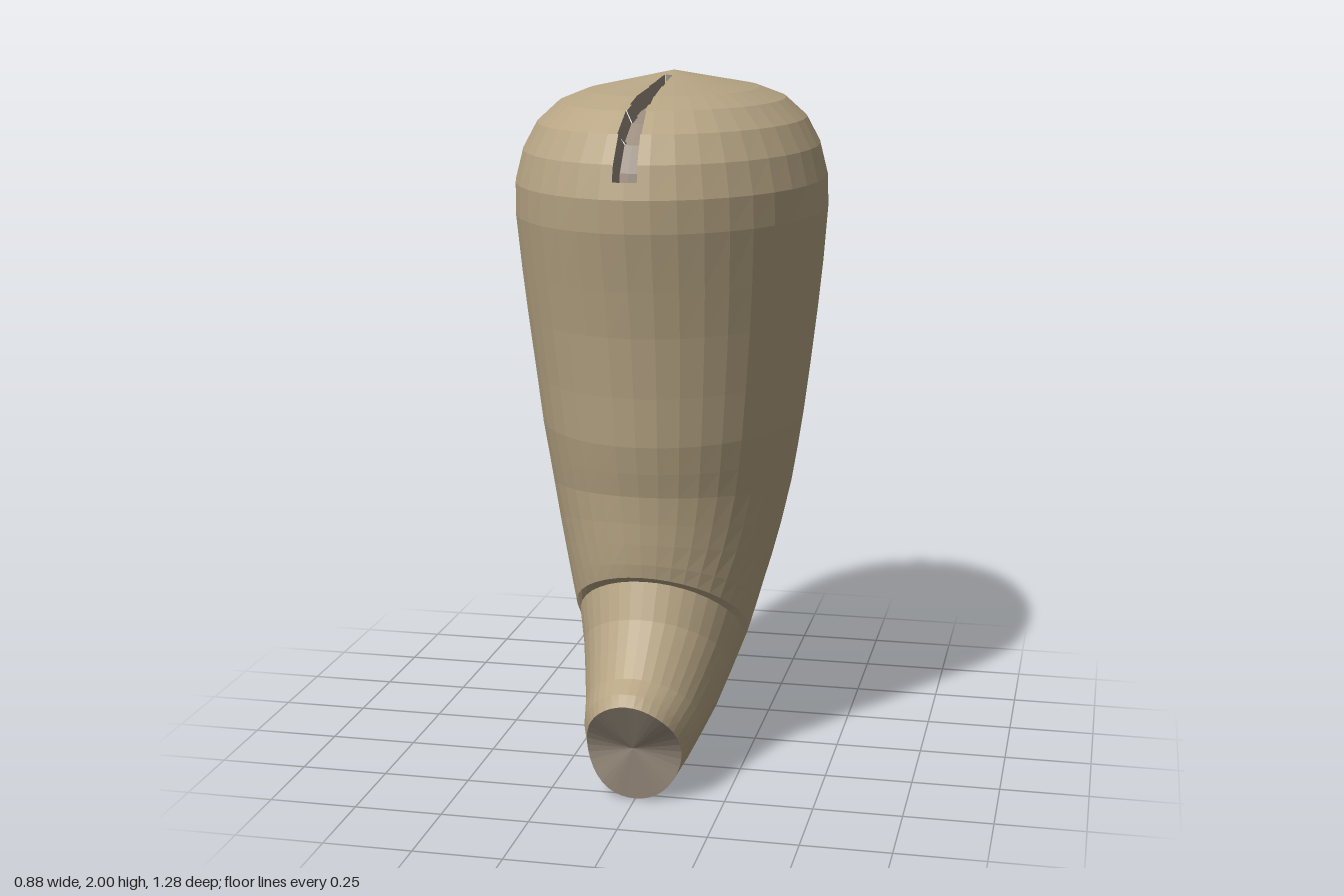
import * as THREE from 'three';

const SIDES = 40;

// Cross-sections, top to mouth: [front z, front y, back z, back y, half width]
const SECTIONS = [
  [0, 2, 0, 2, 0],
  [0.38, 1.95, -0.38, 1.95, 0.24],
  [0.49, 1.92, -0.49, 1.92, 0.315],
  [0.57, 1.865, -0.57, 1.865, 0.375],
  [0.62, 1.79, -0.62, 1.79, 0.415],
  [0.64, 1.7, -0.64, 1.7, 0.438],
  [0.63, 1.61, -0.632, 1.61, 0.44],
  [0.59, 1.45, -0.6, 1.45, 0.428],
  [0.56, 1.32, -0.572, 1.32, 0.415],
  [0.53, 1.15, -0.55, 1.15, 0.395],
  [0.51, 1.01, -0.525, 1.0, 0.377],
  [0.49, 0.93, -0.5, 0.88, 0.362],
  [0.47, 0.86, -0.46, 0.75, 0.346],
  [0.46, 0.78, -0.39, 0.6, 0.322],
  [0.455, 0.72, -0.32, 0.48, 0.3],
  [0.448, 0.66, -0.2, 0.325, 0.27],
  [0.44, 0.62, -0.12, 0.23, 0.25],
  [0.41, 0.6, -0.08, 0.2, 0.24],
  [0.45, 0.5, 0, 0.145, 0.215],
  [0.5, 0.435, 0.12, 0.08, 0.192],
  [0.56, 0.365, 0.25, 0.045, 0.168],
  [0.62, 0.34, 0.38, 0.012, 0.15],
  [0.64, 0.31, 0.53, 0, 0.135],
];

// Right half of the U-shaped groove on the back, as (|x|, y)
const HOOK = [[0.2, 1.62], [0.185, 1.45], [0.16, 1.37], [0.1, 1.305], [0, 1.28]]
  .map(([x, y]) => new THREE.Vector2(x, y));

function segmentDistance(p, a, b) {
  const d = b.clone().sub(a);
  const t = THREE.MathUtils.clamp(p.clone().sub(a).dot(d) / d.lengthSq(), 0, 1);
  return p.distanceTo(a.clone().addScaledVector(d, t));
}

// True where the skin is carved by the top slit or the back groove
function inGroove(p) {
  if (p.z > 0) {
    const w = THREE.MathUtils.mapLinear(p.z, 0.08, 0.63, 0.011, 0.028);
    return p.z > 0.08 && p.y > 1.75 && Math.abs(p.x) < w;
  }
  if (p.y < 1.2 || p.y > 1.7) return false;
  const q = new THREE.Vector2(Math.abs(p.x), p.y);
  // Diamond knob at each end of the groove
  if (Math.abs(q.x - 0.235) + Math.abs(q.y - 1.62) < 0.062) return true;
  return HOOK.some((a, i) => i > 0 && segmentDistance(q, HOOK[i - 1], a) < 0.032);
}

function carve(p) {
  if (!inGroove(p)) return { p, deep: false };
  const axis = new THREE.Vector3(0, Math.min(p.y, 1.4), 0);
  return { p: p.clone().addScaledVector(axis.sub(p).normalize(), 0.05), deep: true };
}

// Point on section j at side i
function ringPoint(j, i) {
  const [zf, yf, zb, yb, w] = SECTIONS[j];
  const t = (i % SIDES) / SIDES * Math.PI * 2;
  const c = Math.cos(t), s = Math.sin(t);
  // The sides of the mouth rim bow back
  const dip = j === SECTIONS.length - 1 ? 0.045 * s ** 4 : 0;
  return new THREE.Vector3(w * s,
    (yf + yb) / 2 + (yf - yb) / 2 * c,
    (zf + zb) / 2 + (zf - zb) / 2 * c - dip);
}

function pushQuad(out, a, b, c, d) {
  for (const p of [a, d, b, d, c, b]) out.push(p.x, p.y, p.z);
}

function makeMesh(name, positions, color) {
  const geometry = new THREE.BufferGeometry();
  geometry.setAttribute('position', new THREE.Float32BufferAttribute(positions, 3));
  geometry.computeVertexNormals();
  const mesh = new THREE.Mesh(geometry,
    new THREE.MeshStandardMaterial({ color, flatShading: true }));
  mesh.name = name;
  return mesh;
}

export function createModel() {
  const skin = [], groove = [], cap = [];

  for (let j = 0; j < SECTIONS.length - 1; j++) {
    for (let i = 0; i < SIDES; i++) {
      const A = ringPoint(j, i), B = ringPoint(j, i + 1);
      const C = ringPoint(j + 1, i + 1), D = ringPoint(j + 1, i);
      const at = (u, v) => A.clone().lerp(B, u).lerp(D.clone().lerp(C, u), v);

      // Panels crossed by a groove are divided finely so it can be sunk in
      const nu = Math.ceil(Math.max(A.distanceTo(B), D.distanceTo(C)) / 0.007);
      const nv = Math.ceil(A.distanceTo(D) / 0.01);
      const grid = [];
      let carved = false;
      for (let v = 0; v <= nv; v++) {
        grid.push([]);
        for (let u = 0; u <= nu; u++) {
          const k = carve(at(u / nu, v / nv));
          carved = carved || k.deep;
          grid[v].push(k);
        }
      }
      if (!carved) {
        pushQuad(skin, A, B, C, D);
        continue;
      }
      for (let v = 0; v < nv; v++) {
        for (let u = 0; u < nu; u++) {
          const q = [grid[v][u], grid[v][u + 1], grid[v + 1][u + 1], grid[v + 1][u]];
          pushQuad(q.some(k => k.deep) ? groove : skin, ...q.map(k => k.p));
        }
      }
    }
  }

  // Mouth disc, a fan pinched towards its centre
  const last = SECTIONS.length - 1;
  const centre = new THREE.Vector3(0, 0.16, 0.555);
  for (let i = 0; i < SIDES; i++) {
    for (const p of [ringPoint(last, i), centre, ringPoint(last, i + 1)]) {
      cap.push(p.x, p.y, p.z);
    }
  }

  const group = new THREE.Group();
  group.name = 'curvedHorn';
  group.add(
    makeMesh('hornBody', skin, 0xb8a685),
    makeMesh('grooves', groove, 0x9a8d7e),
    makeMesh('mouthCap', cap, 0x9a8d7e),
  );
  return group;
}
